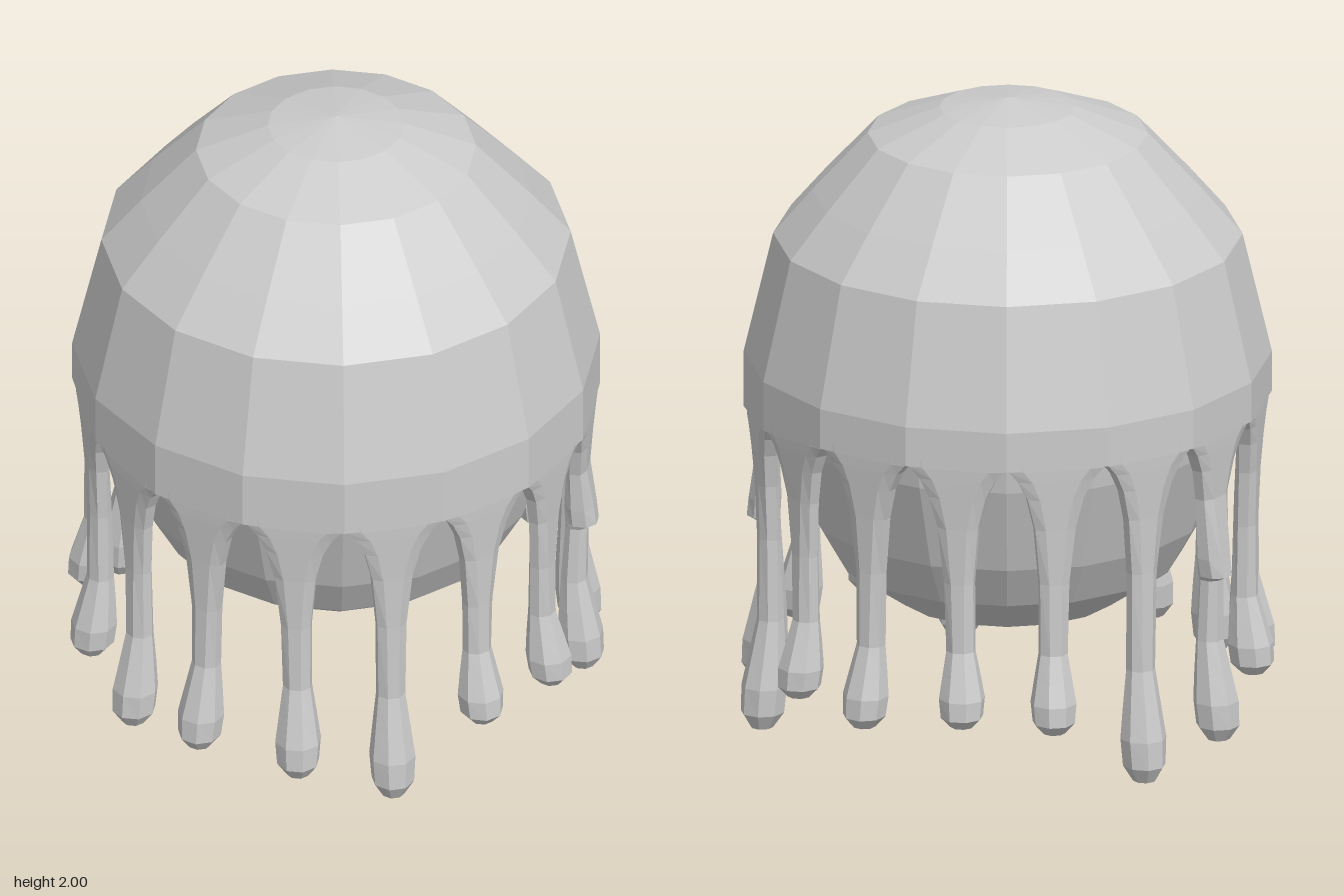
import * as THREE from 'three';

const SIDES = 16;
const STEP = (Math.PI * 2) / SIDES;
const material = new THREE.MeshStandardMaterial({ color: 0xcccccc, flatShading: true });

// Height of the shell's lower rim: a little higher around the back
const rimY = (a) => 1 + 0.055 * THREE.MathUtils.smoothstep(-Math.cos(a), -0.4, 0.5);

function lathe(name, profile) {
  const geometry = new THREE.LatheGeometry(profile.map(([r, y]) => new THREE.Vector2(r, y)), SIDES);
  const mesh = new THREE.Mesh(geometry, material);
  mesh.name = name;
  return mesh;
}

// One drip: eight-sided cross-sections from the wide root down to the bulb
function createDrip(angle, tip, sway, knot) {
  const top = rimY(angle);
  const k = 1 + (0.2 - tip) * 2.2; // long drips have long bulbs
  // [height, half width, distance from axis, half depth, squareness]
  const rows = [
    [top + 0.02, 0.162, 0.764, 0.032, 0.4],
    [top - 0.005, 0.152, 0.764, 0.032, 0.4],
    [top - 0.04, 0.122, 0.763, 0.032, 0.5],
    [top - 0.1, 0.092, 0.76, 0.032, 0.6],
    [top - 0.2, 0.067, 0.753, 0.034, 0.75],
  ];
  if (knot) rows.push([0.66, 0.058, 0.76, 0.05, 0.9], [0.6, 0.05, 0.765, 0.052, 0.9], [0.585, 0.04, 0.75, 0.036, 0.9]);
  else rows.push([top - 0.38, 0.049, 0.745, 0.037, 0.9]);
  rows.push(
    [tip + 0.25 * k, 0.046, 0.742, 0.042, 1],
    [tip + 0.17 * k, 0.06, 0.752, 0.058, 1],
    [tip + 0.1 * k, 0.072, 0.762, 0.071, 1],
    [tip + 0.04 * k, 0.066, 0.768, 0.068, 1],
    [tip + 0.008, 0.036, 0.77, 0.036, 1],
  );

  const n = 8, positions = [], index = [];
  const bend = (v, e) => Math.sign(v) * Math.abs(v) ** e;
  rows.forEach(([y, w, r, d, e], i) => {
    const shift = sway * THREE.MathUtils.smoothstep(i, 4, rows.length - 2);
    // Roots share the rim's corner heights
    for (let j = 0; j < n; j++) {
      const t = ((j + 0.5) / n) * Math.PI * 2;
      const x = w * bend(Math.sin(t), e);
      const slope = i < 4 ? rimY(angle + x / 0.8) - top : 0;
      positions.push(x + shift, y + slope, r + d * bend(Math.cos(t), e));
    }
  });
  for (let i = 0; i < rows.length - 1; i++) {
    for (let j = 0; j < n; j++) {
      const a = i * n + j, b = i * n + ((j + 1) % n);
      index.push(a, a + n, b + n, a, b + n, b);
    }
  }
  // Tip cap
  const last = (rows.length - 1) * n;
  positions.push(sway, tip, 0.772);
  for (let j = 0; j < n; j++) index.push(last + j, last + n, last + ((j + 1) % n));

  const geometry = new THREE.BufferGeometry();
  geometry.setAttribute('position', new THREE.Float32BufferAttribute(positions, 3));
  geometry.setIndex(index);
  geometry.computeVertexNormals();
  const mesh = new THREE.Mesh(geometry, material);
  mesh.rotation.y = angle;
  return mesh;
}

export function createModel() {
  const group = new THREE.Group();
  group.name = 'drippingBall';

  // Inner ball showing below the shell
  group.add(lathe('innerBall', [
    [0, 0.33], [0.34, 0.4], [0.53, 0.53], [0.61, 0.67], [0.7, 0.95], [0.73, 1.18],
  ]));

  // Outer shell, its rim raised at the back
  const shell = lathe('outerShell', [
    [0.68, 1], [0.81, 1], [0.81, 1.18], [0.72, 1.56], [0.6, 1.7],
    [0.43, 1.885], [0.21, 1.97], [0, 2],
  ]);
  const p = shell.geometry.attributes.position;
  for (let i = 0; i < p.count; i++) {
    if (p.getY(i) < 1.01) p.setY(i, rimY(Math.atan2(p.getX(i), p.getZ(i))));
  }
  shell.geometry.computeVertexNormals();
  group.add(shell);

  // Ring of drips, one below each facet
  const tips = [0.19, 0.18, 0.07, 0.01, 0.2, 0.17, 0.21, 0.19, 0, 0.06, 0.19, 0.14, 0.07, 0.11, 0.08, 0];
  const drips = new THREE.Group();
  drips.name = 'drips';
  tips.forEach((tip, i) => {
    const drip = createDrip((i + 0.5) * STEP, tip, 0.014 * Math.sin(i * 2.3), i === 2 || i === 9);
    drip.name = `drip${i + 1}`;
    drips.add(drip);
  });
  group.add(drips);
  return group;
}
